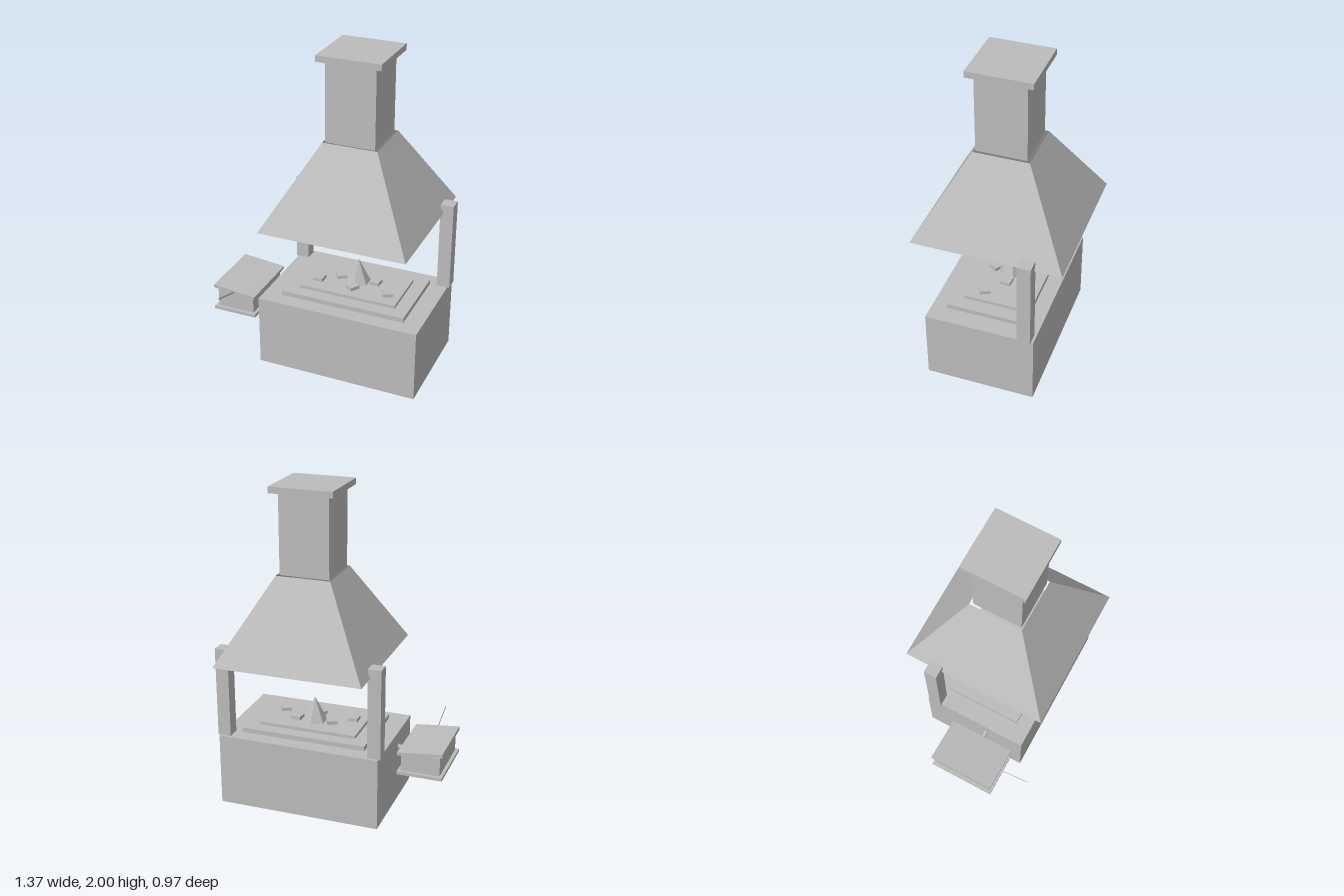
import * as THREE from 'three';

const grey = new THREE.MeshStandardMaterial({ color: 0xbcbcbc, side: THREE.DoubleSide, flatShading: true });
grey.name = 'plain grey';

function add(parent, name, geometry, x, y, z) {
  const mesh = new THREE.Mesh(geometry, grey);
  mesh.name = name;
  mesh.position.set(x, y, z);
  parent.add(mesh);
  return mesh;
}

// Box given by its lower and upper limits on each axis
function span(parent, name, [x0, x1], [y0, y1], [z0, z1]) {
  return add(parent, name, new THREE.BoxGeometry(x1 - x0, y1 - y0, z1 - z0),
    (x0 + x1) / 2, (y0 + y1) / 2, (z0 + z1) / 2);
}

export function createModel() {
  const model = new THREE.Group();
  model.name = 'forge';
  const cx = 0.16, cz = -0.027;

  // Hearth block with two stepped slabs
  span(model, 'hearthBase', [-0.35, 0.668], [0, 0.455], [-0.337, 0.34]);
  span(model, 'hearthRim', [-0.235, 0.555], [0.455, 0.485], [-0.243, 0.246]);
  span(model, 'coalBed', [-0.15, 0.47], [0.485, 0.505], [-0.165, 0.168]);

  // Coals, each turned a little further than the last
  const coals = [[-0.068, 0.055], [0.047, -0.03], [0.16, 0.073], [0.272, -0.034], [0.387, 0.064]];
  coals.forEach(([x, z], i) => {
    const coal = add(model, 'coal', new THREE.BoxGeometry(0.063, 0.03, 0.063), x, 0.512, z);
    coal.rotation.y = i * 0.5;
  });

  // Flame
  add(model, 'flame', new THREE.ConeGeometry(0.078, 0.157, 6), cx, 0.5825, -0.023);

  // Rear posts
  for (const side of [-1, 1]) {
    const x = cx + side * 0.48;
    span(model, 'post', [x - 0.041, x + 0.041], [0.455, 1.018], [-0.322, -0.24]);
  }

  // Open pyramid hood, chimney and cap
  const hood = new THREE.CylinderGeometry(0.169 * Math.SQRT2, 0.458 * Math.SQRT2, 0.508, 4, 1, true);
  hood.rotateY(Math.PI / 4);
  add(model, 'hood', hood, cx + 0.002, 1.218, cz);
  span(model, 'chimney', [0.006, 0.314], [1.472, 1.962], [-0.176, 0.132]);
  span(model, 'chimneyCap', [-0.035, 0.357], [1.962, 2], [-0.223, 0.17]);

  // Bellows beside the hearth
  const bellows = new THREE.Group();
  bellows.name = 'bellows';
  model.add(bellows);
  span(bellows, 'bottomBoard', [-0.685, -0.403], [0.275, 0.295], [-0.126, 0.296]);
  span(bellows, 'airChamber', [-0.665, -0.423], [0.295, 0.412], [-0.105, 0.275]);
  const lid = add(bellows, 'topBoard', new THREE.BoxGeometry(0.281, 0.02, 0.422), -0.544, 0.426, 0.085);
  lid.rotation.z = -0.1;

  // Nozzle rising into the hearth
  const nozzle = add(bellows, 'nozzle', new THREE.CylinderGeometry(0.015, 0.015, 0.12, 6), -0.37, 0.35, 0.085);
  nozzle.rotation.z = -Math.PI / 2 + 0.36;

  // Thin upright lever blade on the front of the top board
  const lever = add(bellows, 'lever', new THREE.BoxGeometry(0.002, 0.011, 0.24), -0.544, 0.45, 0.371);
  lever.rotation.x = -0.3;

  return model;
}
